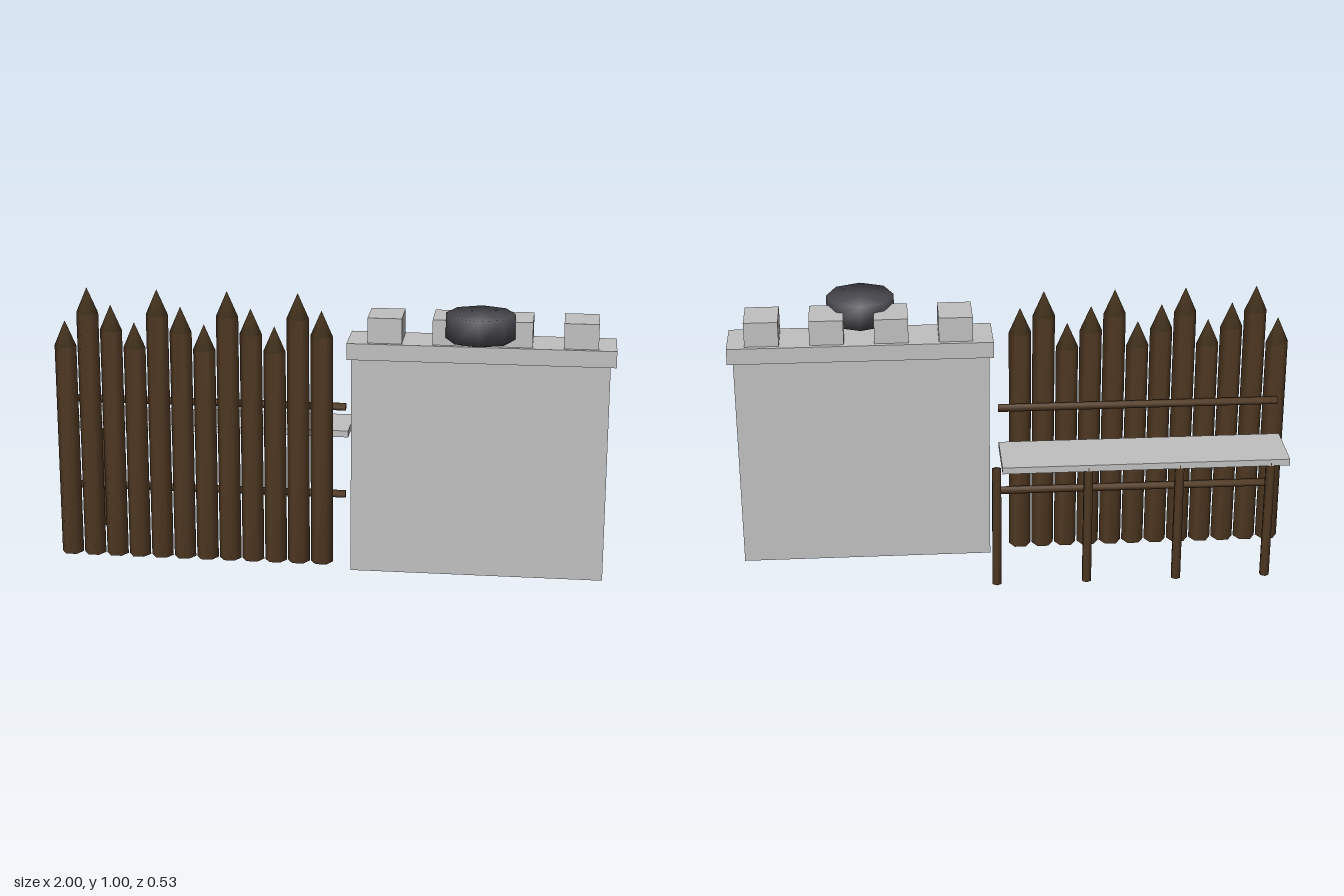
import * as THREE from 'three';
import { mergeVertices } from 'three/addons/utils/BufferGeometryUtils.js';

// Low-poly round part whose caps and sides share softened normals
function soft(geometry) {
  geometry.deleteAttribute('uv');
  geometry.deleteAttribute('normal');
  const merged = mergeVertices(geometry, 1e-4);
  merged.computeVertexNormals();
  return merged;
}

export function createModel() {
  const model = new THREE.Group();
  const stone = new THREE.MeshStandardMaterial({ name: 'pale stone', color: 0xc0c0c0 });
  const wood = new THREE.MeshStandardMaterial({ name: 'brown wood', color: 0x4f3822 });
  const tipWood = new THREE.MeshStandardMaterial({ name: 'dark tip wood', color: 0x46351f });
  const iron = new THREE.MeshStandardMaterial({ name: 'dark iron', color: 0x4a4a50 });

  const add = (name, geometry, material, x, y, z, parent = model) => {
    const mesh = new THREE.Mesh(geometry, material);
    mesh.name = name;
    mesh.position.set(x, y, z);
    parent.add(mesh);
    return mesh;
  };
  // Box given by its minimum and maximum corners
  const box = (name, material, [x0, y0, z0], [x1, y1, z1]) =>
    add(name, new THREE.BoxGeometry(x1 - x0, y1 - y0, z1 - z0), material,
      (x0 + x1) / 2, (y0 + y1) / 2, (z0 + z1) / 2);

  // Palisade of sharpened stakes in three repeating heights
  const palisade = new THREE.Group();
  palisade.name = 'palisade';
  model.add(palisade);
  const heights = [0.785, 0.908, 0.847];
  const tip = soft(new THREE.ConeGeometry(0.04, 0.092, 6).rotateY(Math.PI / 6));
  for (let i = 0; i < 12; i++) {
    const h = heights[i % 3];
    const x = -0.96 + i * 0.0842;
    const log = soft(new THREE.CylinderGeometry(0.04, 0.04, h, 6).rotateY(Math.PI / 6));
    add('stake', log, wood, x, h / 2, 0.053, palisade);
    add('stakeTip', tip, tipWood, x, h + 0.046, 0.053, palisade);
  }

  // Cross rails behind the stakes
  const rail = soft(new THREE.CylinderGeometry(0.014, 0.014, 1.01, 6).rotateZ(Math.PI / 2));
  for (const y of [0.245, 0.575]) add('rail', rail, wood, -0.457, y, 0.003);

  // Raised walkway and its rear posts
  box('walkway', stone, [-0.965, 0.443, -0.265], [0.05, 0.467, -0.052]);
  const post = soft(new THREE.CylinderGeometry(0.018, 0.018, 0.455, 6));
  for (let i = 0; i < 4; i++) add('walkwayPost', post, wood, 0.07 - i * 0.323, 0.2275, -0.248);

  // Stone wall with coping and merlons
  box('wall', stone, [0.08, 0, -0.019], [0.98, 0.79, 0.131]);
  box('coping', stone, [0.065, 0.788, -0.035], [1, 0.847, 0.146]);
  for (let i = 0; i < 4; i++) {
    const x = 0.197 + i * 0.2267;
    box('merlon', stone, [x - 0.06, 0.845, -0.019], [x + 0.06, 0.937, 0.131]);
  }

  // Cauldron hung over the wall's front edge
  add('cauldron', soft(new THREE.CylinderGeometry(0.12, 0.12, 0.09, 8)), iron, 0.53, 0.923, 0.146);

  return model;
}
